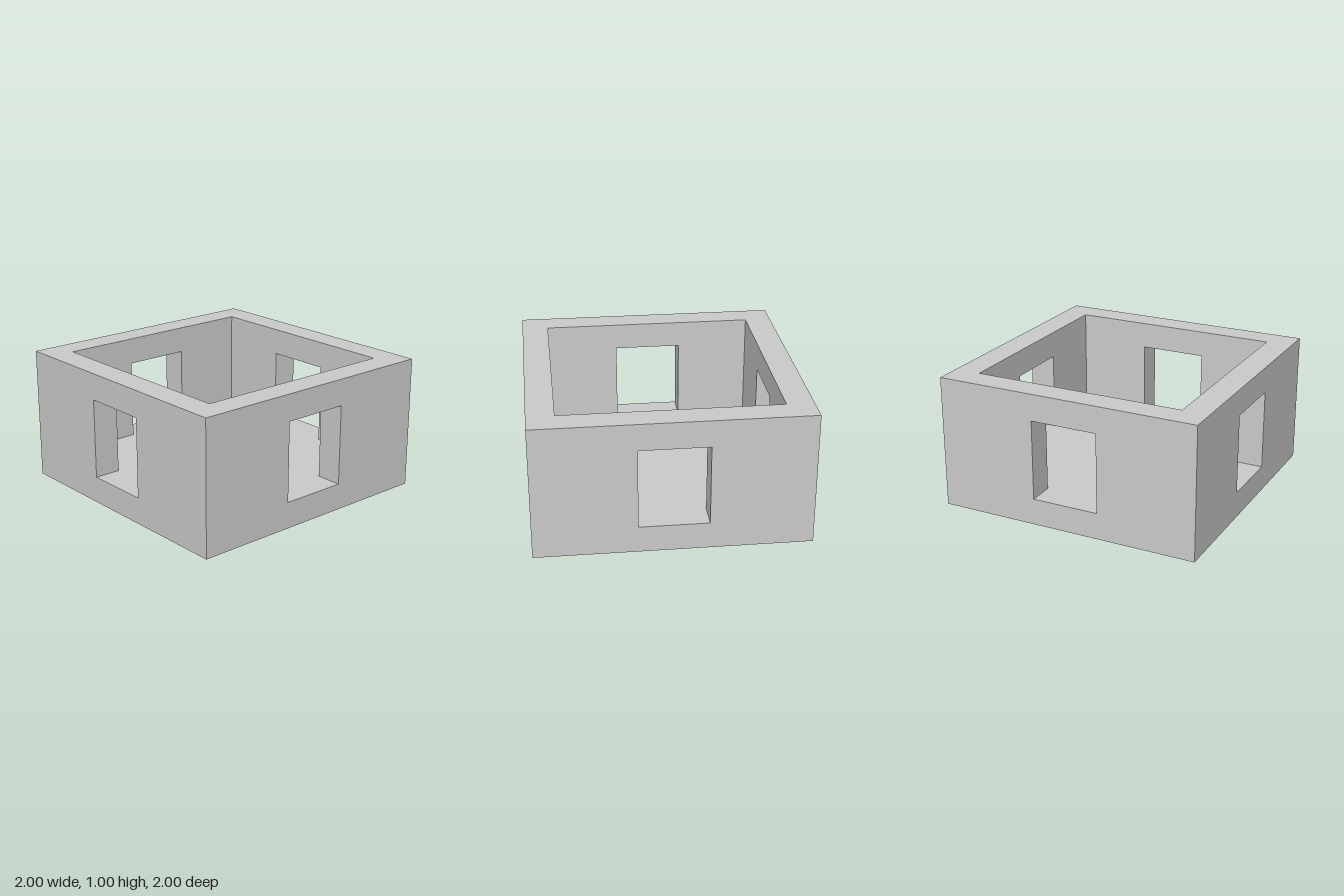
import * as THREE from 'three';

const HALF = 1, HEIGHT = 1, THICK = 0.2, FLOOR = 0.2;
const WINDOW = { half: 0.253, bottom: 0.2, top: 0.8 };

function rectPath(path, x0, y0, x1, y1) {
  path.moveTo(x0, y0);
  path.lineTo(x1, y0);
  path.lineTo(x1, y1);
  path.lineTo(x0, y1);
  path.closePath();
  return path;
}

// Wall with a window opening, its ends mitred at 45 degrees
function wallGeometry() {
  const shape = rectPath(new THREE.Shape(), -HALF, 0, HALF, HEIGHT);
  shape.holes.push(rectPath(new THREE.Path(), -WINDOW.half, WINDOW.bottom, WINDOW.half, WINDOW.top));
  const geo = new THREE.ExtrudeGeometry(shape, { depth: THICK, bevelEnabled: false });
  geo.translate(0, 0, HALF - THICK);
  const pos = geo.attributes.position;
  for (let i = 0; i < pos.count; i++) {
    const x = pos.getX(i);
    if (Math.abs(x) > HALF - 0.01) pos.setX(i, Math.sign(x) * pos.getZ(i));
  }
  geo.computeVertexNormals();
  return geo;
}

export function createModel() {
  const model = new THREE.Group();
  model.name = 'walledRoom';
  const material = new THREE.MeshStandardMaterial({ color: 0xcccccc, flatShading: true });

  // Four identical walls around the room
  const geo = wallGeometry();
  ['frontWall', 'leftWall', 'backWall', 'rightWall'].forEach((name, i) => {
    const wall = new THREE.Mesh(geo, material);
    wall.name = name;
    wall.rotation.y = i * Math.PI / 2;
    model.add(wall);
  });

  // Floor slab between the walls, level with the window sills
  const inner = 2 * (HALF - THICK);
  const floor = new THREE.Mesh(new THREE.BoxGeometry(inner, FLOOR, inner), material);
  floor.name = 'floor';
  floor.position.y = FLOOR / 2;
  model.add(floor);

  return model;
}
